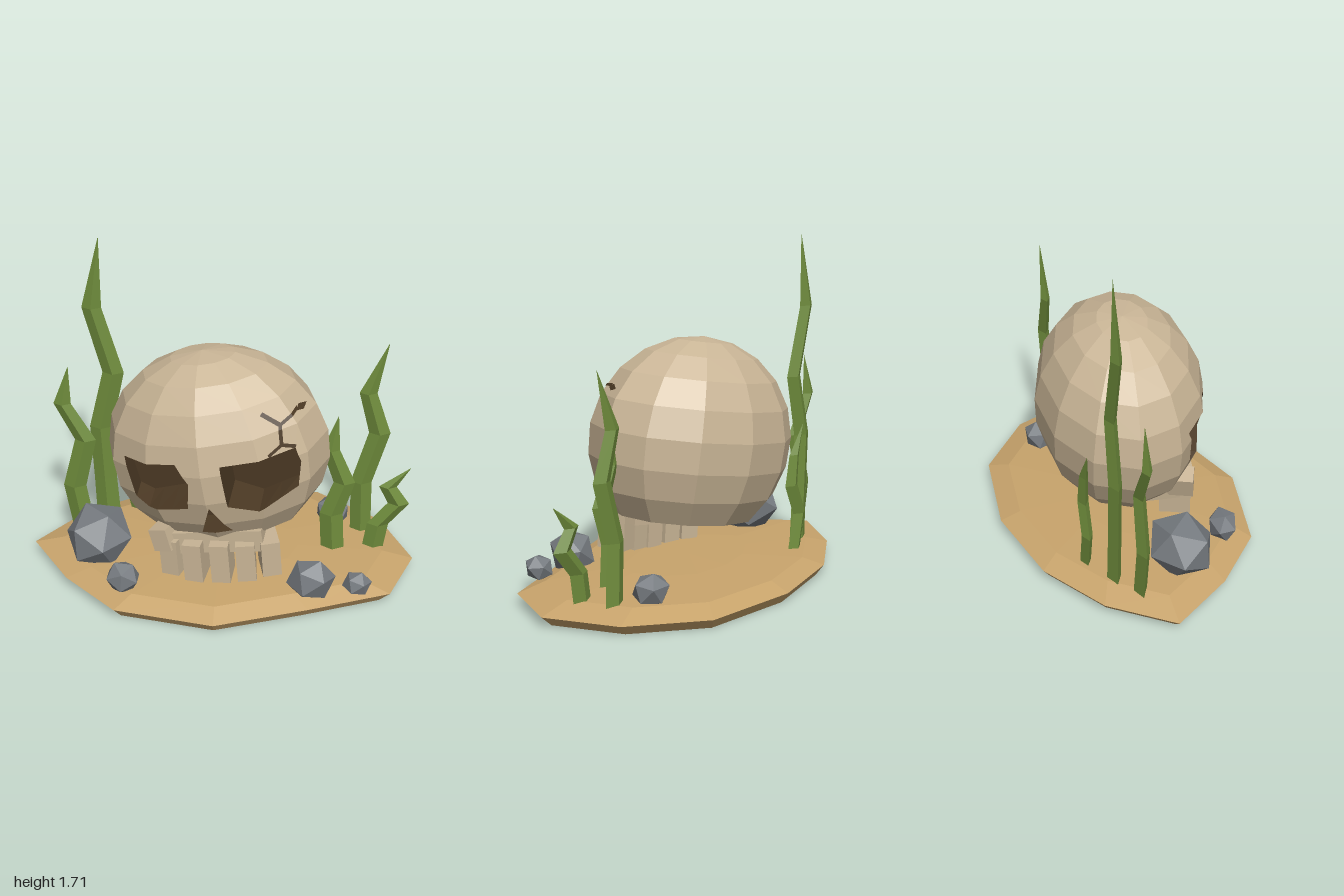
import * as THREE from 'three';

const mat = (name, color) => Object.assign(new THREE.MeshStandardMaterial({ color, flatShading: true }), { name });
const V = (x, y, z) => new THREE.Vector3(x, y, z);

// Flat-shaded mesh from a list of convex polygons (counter-clockwise seen from outside)
function polyMesh(name, polys, material) {
  const pos = [];
  for (const p of polys)
    for (let i = 1; i < p.length - 1; i++) for (const v of [p[0], p[i], p[i + 1]]) pos.push(v.x, v.y, v.z);
  const g = new THREE.BufferGeometry();
  g.setAttribute('position', new THREE.Float32BufferAttribute(pos, 3));
  g.computeVertexNormals();
  const m = new THREE.Mesh(g, material);
  m.name = name;
  return m;
}

// Skin between rings of points, running upwards and counter-clockwise seen from above
function skin(rings) {
  const out = [];
  for (let r = 0; r < rings.length - 1; r++) {
    const a = rings[r], b = rings[r + 1], n = a.length;
    for (let i = 0; i < n; i++) {
      const j = (i + 1) % n;
      out.push([a[i], a[j], b[j]], [a[i], b[j], b[i]]);
    }
  }
  return out;
}

// Splits a polygon along the front-view line a-b: [left part, right part]
function split(poly, a, b) {
  const left = [], right = [];
  const side = (p) => (b[0] - a[0]) * (p.y - a[1]) - (b[1] - a[1]) * (p.x - a[0]);
  poly.forEach((p, i) => {
    const q = poly[(i + 1) % poly.length], dp = side(p), dq = side(q);
    (dp >= 0 ? left : right).push(p);
    if (dp >= 0 !== dq >= 0) {
      const c = p.clone().lerp(q, dp / (dp - dq));
      left.push(c);
      right.push(c);
    }
  });
  return [left, right];
}

// Cuts a convex outline out of a surface: pieces outside it and pieces inside it
function cut(polys, outline) {
  const outside = [], inside = [];
  for (const poly of polys) {
    if (poly.reduce((s, p) => s + p.z, 0) <= 0) { outside.push(poly); continue; }
    let rest = poly;
    const cuts = [];
    for (let i = 0; i < outline.length && rest.length > 2; i++) {
      const [l, r] = split(rest, outline[i], outline[(i + 1) % outline.length]);
      if (r.length > 2) cuts.push(r);
      rest = l;
    }
    if (rest.length > 2) { inside.push(rest); outside.push(...cuts); }
    else outside.push(poly);
  }
  return { outside, inside };
}

// Walls and back of a recess under the removed surface pieces
function recess(inside, outline, backZ, lift) {
  const out = [[...outline.map(([x, y]) => V(x, y + lift, backZ))]];
  const back = (p) => V(p.x, p.y + lift, backZ);
  for (const piece of inside)
    piece.forEach((p, k) => {
      const q = piece[(k + 1) % piece.length];
      const onRim = outline.some((a, i) => {
        const b = outline[(i + 1) % outline.length];
        const len = Math.hypot(b[0] - a[0], b[1] - a[1]);
        return [p, q].every((v) => Math.abs((b[0] - a[0]) * (v.y - a[1]) - (b[1] - a[1]) * (v.x - a[0])) / len < 1e-6);
      });
      if (onRim) out.push([p, q, back(q), back(p)]);
    });
  return out;
}

export function createModel() {
  const model = new THREE.Group();
  const sand = mat('sand', 0xc8a46c), bone = mat('bone', 0xc9b596), dark = mat('hollow brown', 0x4a3823);
  const green = mat('weed green', 0x6f8c3c), grey = mat('rock grey', 0x767b80);

  // Sandy base: bevelled irregular slab with a slight mound
  const rim = [[-1, -0.01], [-0.78, 0.3], [-0.5, 0.55], [0, 0.64], [0.46, 0.48], [0.87, 0.32],
    [1, 0], [0.84, -0.35], [0.5, -0.605], [0, -0.645], [-0.45, -0.53], [-0.78, -0.31]];
  const layers = [[0.001, 0], [0.94, 0], [1, 0.055], [0.84, 0.095], [0.4, 0.11], [0.001, 0.112]];
  model.add(polyMesh('sandBase', skin(layers.map(([s, y]) => rim.map(([x, z]) => V(x * s, y, z * s)))), sand));

  // Cranium: faceted ellipsoid, cut flat below
  const skull = new THREE.Group();
  skull.name = 'skull';
  skull.position.set(-0.02, 0.705, -0.01);
  skull.rotation.set(0, -0.11, 0.155);
  const ball = new THREE.SphereGeometry(1, 12, 8, 0, Math.PI * 2, 0, Math.PI * 0.75).scale(0.57, 0.525, 0.43).toNonIndexed();
  const pts = ball.attributes.position;
  let shell = [];
  for (let i = 0; i < pts.count; i += 3)
    shell.push([0, 1, 2].map((k) => new THREE.Vector3().fromBufferAttribute(pts, i + k)));
  const surface = shell;
  const underside = [];
  for (let i = 0; i < 12; i++) {
    const a = (i / 12) * Math.PI * 2, r = Math.SQRT1_2;
    underside.push(V(Math.cos(a) * 0.57 * r, -0.525 * r, Math.sin(a) * 0.43 * r));
  }

  // Eye sockets and nose: recesses cut through the shell
  const hollows = [
    ['rightEyeSocket', 0.17, [[-0.385, -0.125], [-0.32, -0.17], [-0.1, -0.14], [-0.07, 0.01], [-0.125, 0.11], [-0.41, 0.1]]],
    ['leftEyeSocket', 0.17, [[0.1, -0.136], [0.24, -0.194], [0.43, -0.117], [0.458, 0.015], [0.44, 0.094], [0.095, 0.093]]],
    ['noseHollow', 0.2, [[-0.07, -0.32], [0.085, -0.315], [0.01, -0.13]]],
  ];
  for (const [name, backZ, outline] of hollows) {
    const { outside, inside } = cut(shell, outline);
    shell = outside;
    skull.add(polyMesh(name, recess(inside, outline, backZ, 0.02), dark));
  }
  skull.add(polyMesh('cranium', [...shell, underside], bone));

  // Crack: thin strips laid over the brow facets
  const crackLines = [
    [[0.3, 0.29], [0.38, 0.22]], [[0.38, 0.22], [0.45, 0.25]], [[0.45, 0.25], [0.48, 0.232]],
    [[0.38, 0.22], [0.38, 0.13]], [[0.38, 0.13], [0.32, 0.1]], [[0.38, 0.13], [0.44, 0.1]],
  ];
  const crack = [];
  for (const [a, b] of crackLines) {
    const dx = b[0] - a[0], dy = b[1] - a[1], s = 0.008 / Math.hypot(dx, dy), nx = -dy * s, ny = dx * s;
    const strip = [[a[0] - nx, a[1] - ny], [b[0] - nx, b[1] - ny], [b[0] + nx, b[1] + ny], [a[0] + nx, a[1] + ny]];
    for (const p of cut(surface, strip).inside) crack.push(p.map((v) => v.clone().multiplyScalar(1.008)));
  }
  skull.add(polyMesh('crack', crack, dark));
  model.add(skull);

  // Upper jaw and its row of teeth
  const box = (name, w, h, d, x, y, z, ry, rz) => {
    const m = new THREE.Mesh(new THREE.BoxGeometry(w, h, d), bone);
    m.name = name;
    m.position.set(x, y, z);
    m.rotation.set(0, ry, rz);
    model.add(m);
  };
  box('upperJaw', 0.52, 0.12, 0.2, -0.02, 0.31, 0.2, -0.11, 0.155);
  box('jawCorner', 0.1, 0.12, 0.16, -0.26, 0.31, 0.23, -0.4, 0.3);
  const teeth = [[-0.22, 0.11, 0.23, -0.35], [-0.11, 0.1, 0.27, -0.18], [0.02, 0.11, 0.28, -0.08],
    [0.14, 0.125, 0.28, 0.06], [0.255, 0.15, 0.26, 0.2]];
  for (const [x, y0, z, ry] of teeth) {
    const h = 0.325 + x * 0.08 - y0;
    box('tooth', 0.095, h, 0.16, x, y0 + h / 2, z, ry, 0.08);
  }

  // Seaweed: kinked blades of diamond section; each point is x, y, half width
  const blades = [
    [-0.22, [[-0.63, 0.08, 0.065], [-0.64, 0.35, 0.06], [-0.65, 0.66, 0.06], [-0.575, 0.98, 0.055], [-0.67, 1.34, 0.05], [-0.62, 1.71, 0.001]]],
    [-0.125, [[-0.75, 0.08, 0.06], [-0.79, 0.35, 0.06], [-0.72, 0.63, 0.055], [-0.83, 0.84, 0.045], [-0.79, 1.05, 0.001]]],
    [-0.32, [[-0.47, 0.08, 0.05], [-0.51, 0.28, 0.05], [-0.44, 0.44, 0.05], [-0.46, 0.6, 0.04], [-0.53, 0.75, 0.001]]],
    [-0.01, [[0.58, 0.08, 0.06], [0.565, 0.31, 0.06], [0.625, 0.5, 0.055], [0.55, 0.69, 0.045], [0.58, 0.885, 0.001]]],
    [-0.2, [[0.73, 0.08, 0.055], [0.72, 0.39, 0.055], [0.8, 0.69, 0.055], [0.73, 0.92, 0.045], [0.82, 1.2, 0.001]]],
    [-0.05, [[0.79, 0.08, 0.055], [0.81, 0.23, 0.055], [0.91, 0.36, 0.055], [0.85, 0.46, 0.045], [0.96, 0.575, 0.001]]],
  ];
  for (const [z, path] of blades) {
    const rings = path.map(([x, y, w]) => [V(x - w, y, z), V(x, y, z + w * 0.55), V(x + w, y, z), V(x, y, z - w * 0.55)]);
    model.add(polyMesh('seaweedBlade', skin(rings), green));
  }

  // Rocks
  const rocks = [[-0.63, 0.21, 0.12, 0.18], [-0.47, 0.15, 0.4, 0.09], [0.47, 0.155, 0.36, 0.125],
    [0.7, 0.135, 0.35, 0.075], [0.58, 0.145, -0.29, 0.095]];
  rocks.forEach(([x, y, z, r], i) => {
    const rock = new THREE.Mesh(new THREE.IcosahedronGeometry(r, 0), grey);
    rock.name = 'rock';
    rock.position.set(x, y, z);
    rock.rotation.set(0.5 + i * 0.8, 0.4 + i * 1.1, 0.2);
    rock.scale.y = 0.88;
    model.add(rock);
  });
  return model;
}
